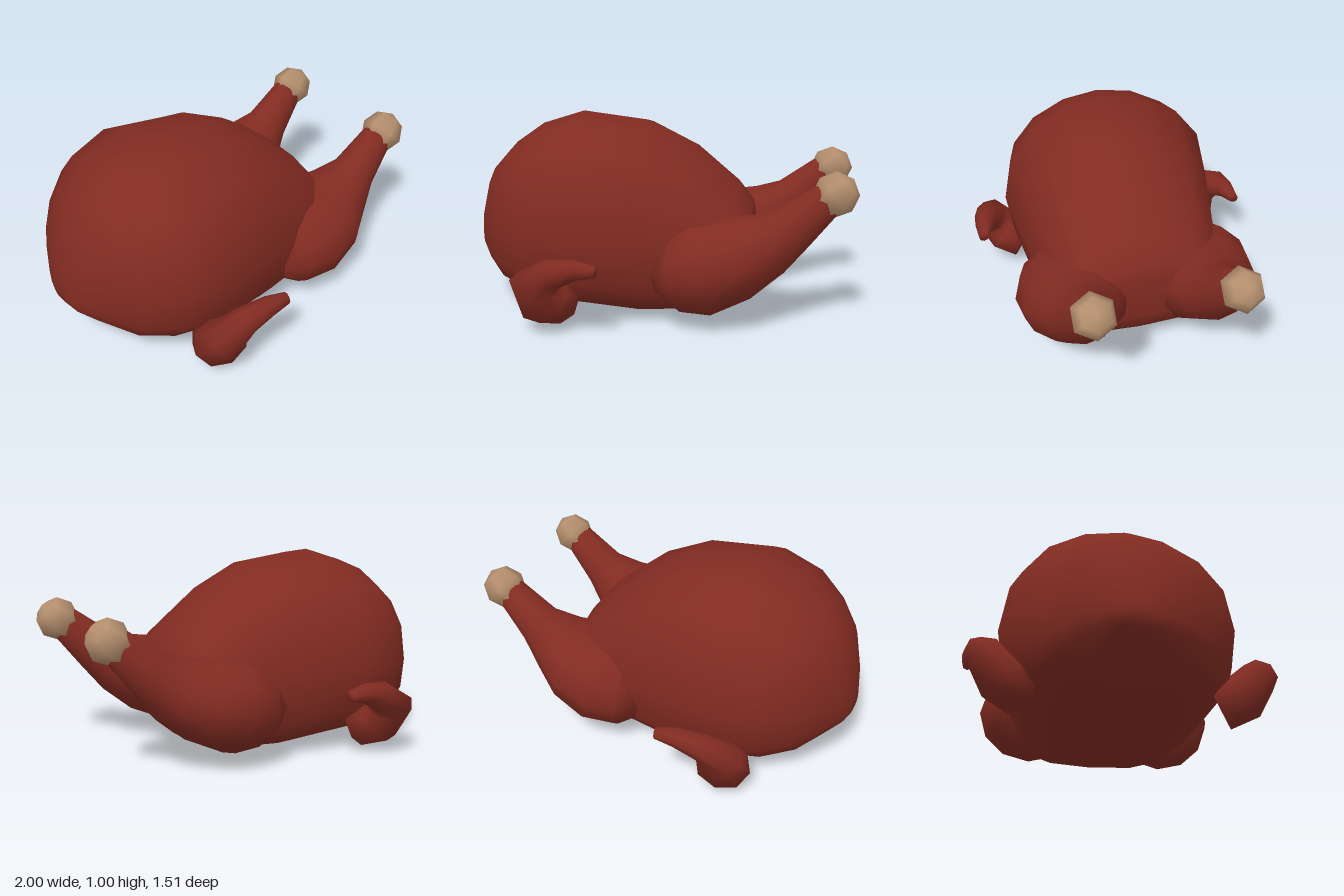
import * as THREE from 'three';

// Closed smooth skin over a list of rings (each an array of Vector3, counter-clockwise about the path)
function skin(rings) {
  const n = rings[0].length, pos = [], idx = [];
  const centre = (r) => r.reduce((s, p) => s.add(p), new THREE.Vector3()).divideScalar(n);
  rings.flat().forEach((p) => pos.push(p.x, p.y, p.z));
  const last = rings.length - 1, a = rings.length * n, b = a + 1;
  [centre(rings[0]), centre(rings[last])].forEach((p) => pos.push(p.x, p.y, p.z));
  for (let j = 0; j < n; j++) {
    const k = (j + 1) % n;
    for (let i = 0; i < last; i++) {
      const p = i * n + j, q = i * n + k;
      idx.push(p, q, p + n, q, q + n, p + n);
    }
    idx.push(a, k, j, b, last * n + j, last * n + k);
  }
  const g = new THREE.BufferGeometry();
  g.setAttribute('position', new THREE.Float32BufferAttribute(pos, 3));
  g.setIndex(idx);
  g.computeVertexNormals();
  return g;
}

// Limb from stations [x, y, z, radius across, radius along ref]
function limb(stations, sides, ref) {
  const pts = stations.map((s) => new THREE.Vector3(s[0], s[1], s[2]));
  return skin(stations.map((s, i) => {
    const t = pts[Math.min(i + 1, pts.length - 1)].clone().sub(pts[Math.max(i - 1, 0)]).normalize();
    const side = ref.clone().addScaledVector(t, -ref.dot(t)).normalize();
    const up = t.clone().cross(side);
    return Array.from({ length: sides }, (_, j) => {
      const a = (j / sides) * Math.PI * 2;
      return pts[i].clone().addScaledVector(side, Math.cos(a) * s[4]).addScaledVector(up, Math.sin(a) * s[3]);
    });
  }));
}

// Egg-shaped body ring: sloping shoulders above, fuller and squarer below
function bodyRing([x, top, bottom, w, z]) {
  const belt = bottom + (top - bottom) * 0.43;
  const soft = (v, power) => Math.sign(v) * Math.pow(Math.abs(v), power);
  return Array.from({ length: 16 }, (_, j) => {
    const a = (j / 16) * Math.PI * 2, s = Math.sin(a), c = Math.cos(a);
    const above = s < 0;
    const y = belt - soft(s, above ? 0.85 : 0.68) * (above ? top - belt : belt - bottom);
    return new THREE.Vector3(x, y, z + soft(c, above ? 1.05 : 0.68) * w);
  });
}

export function createModel() {
  const group = new THREE.Group();
  const roast = new THREE.MeshStandardMaterial({ color: 0x812b21 });
  roast.name = 'roastedSkin';
  const bone = new THREE.MeshStandardMaterial({ color: 0xb58f6e });
  bone.name = 'bone';

  // The bird lies slightly turned
  const bird = new THREE.Group();
  bird.name = 'roastBird';
  bird.rotation.y = -0.1;
  bird.position.z = 0.045;
  group.add(bird);
  const add = (name, geometry, material) => {
    const m = new THREE.Mesh(geometry, material);
    m.name = name;
    bird.add(m);
    return m;
  };

  // Plump body: stations [x, top, bottom, half width, z shift]
  const body = [
    [-1.0, 0.4, 0.29, 0.07, -0.04], [-0.975, 0.54, 0.25, 0.15, -0.035], [-0.91, 0.72, 0.2, 0.28, -0.025],
    [-0.81, 0.83, 0.12, 0.41, -0.02], [-0.66, 0.935, 0.075, 0.53, -0.02], [-0.44, 1.005, 0.035, 0.58, -0.015],
    [-0.1, 0.965, 0, 0.525, -0.005], [0.15, 0.84, 0.015, 0.48, 0], [0.37, 0.65, 0.075, 0.43, 0],
    [0.45, 0.55, 0.16, 0.37, 0], [0.465, 0.47, 0.24, 0.28, 0],
  ];
  add('body', skin(body.map(bodyRing)), roast);

  // Mirrored legs, bone ends and wings
  const leg = [
    [0.1, 0.28, 0.33, 0.17, 0.2], [0.13, 0.28, 0.35, 0.215, 0.235], [0.22, 0.295, 0.355, 0.245, 0.272],
    [0.4, 0.345, 0.325, 0.21, 0.28], [0.54, 0.415, 0.34, 0.165, 0.185],
    [0.66, 0.5, 0.341, 0.12, 0.115], [0.83, 0.66, 0.345, 0.085, 0.08],
  ];
  const wing = [
    [-0.47, 0.12, 0.48, 0.13, 0.11], [-0.525, 0.165, 0.58, 0.14, 0.12], [-0.55, 0.255, 0.645, 0.115, 0.095],
    [-0.45, 0.325, 0.675, 0.08, 0.07], [-0.33, 0.36, 0.705, 0.05, 0.05], [-0.23, 0.36, 0.72, 0.025, 0.03],
  ];
  for (const s of [1, -1]) {
    const side = s > 0 ? 'left' : 'right';
    const flip = (list) => list.map(([x, y, z, a, b]) => [x, y, z * s, a, b]);
    add(side + 'Leg', limb(flip(leg), 12, new THREE.Vector3(0, 0, 1)), roast);
    add(side + 'Wing', limb(flip(wing), 8, new THREE.Vector3(0, 1, -s)), roast);
    const knob = add(side + 'LegBone', new THREE.SphereGeometry(0.112, 6, 4), bone);
    knob.position.set(0.86, 0.677, 0.347 * s);
    knob.rotation.z = -0.8;
  }
  return group;
}
